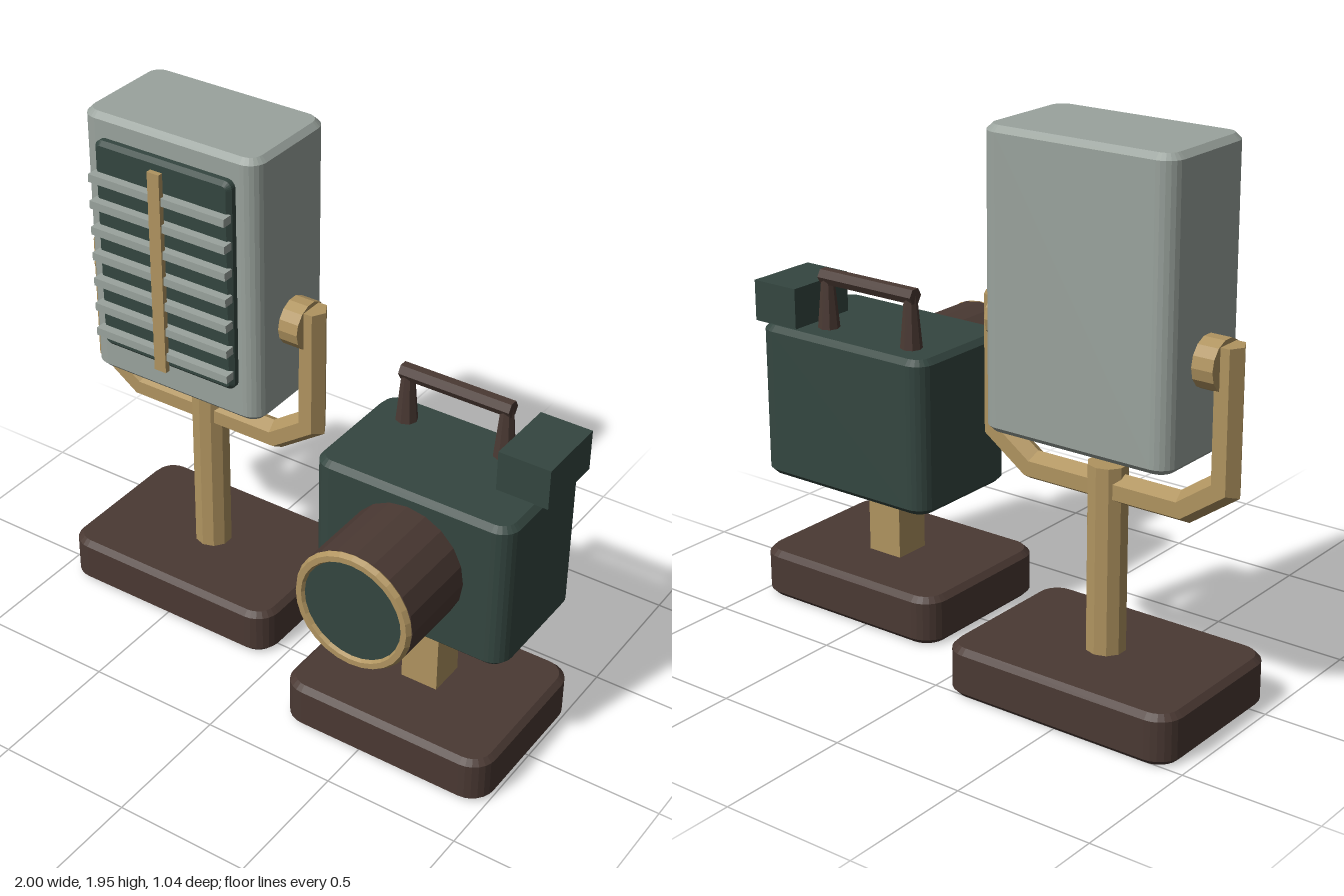
import * as THREE from 'three';

const mat = (name, color) => {
  const m = new THREE.MeshStandardMaterial({ color });
  m.name = name;
  return m;
};

// Faceted copy of a geometry: one normal per face
const facet = (geo) => {
  const g = geo.index ? geo.toNonIndexed() : geo;
  g.computeVertexNormals();
  return g;
};

// Slab with rounded outline (w x d), thickness h along z, chamfered rims, centred
function slab(w, d, h, radius, bevel) {
  const x = w / 2 - bevel, y = d / 2 - bevel, r = radius - bevel;
  const s = new THREE.Shape();
  s.moveTo(-x + r, -y);
  s.lineTo(x - r, -y).absarc(x - r, -y + r, r, -Math.PI / 2, 0);
  s.lineTo(x, y - r).absarc(x - r, y - r, r, 0, Math.PI / 2);
  s.lineTo(-x + r, y).absarc(-x + r, y - r, r, Math.PI / 2, Math.PI);
  s.lineTo(-x, -y + r).absarc(-x + r, -y + r, r, Math.PI, Math.PI * 1.5);
  const g = new THREE.ExtrudeGeometry(s, {
    depth: h - 2 * bevel, bevelEnabled: true, bevelSize: bevel,
    bevelThickness: bevel, bevelSegments: 1, curveSegments: 3,
  });
  return g.translate(0, 0, bevel - h / 2);
}

// Upright slab, thickness along y
const block = (w, h, d, radius, bevel) => slab(w, d, h, radius, bevel).rotateX(-Math.PI / 2);

// Hexagonal bar bent along a path in the xy plane, mitred at the corners
function bentBar(points, r) {
  const n = points.length - 1;
  const g = new THREE.CylinderGeometry(r, r, 1, 6, n, false, Math.PI / 2);
  const dir = (i) => {
    const k = Math.min(Math.max(i, 0), n - 1);
    return points[k + 1].clone().sub(points[k]).normalize();
  };
  const pos = g.attributes.position;
  for (let v = 0; v < pos.count; v++) {
    const i = Math.round((pos.getY(v) + 0.5) * n);
    const t = dir(i - 1).add(dir(i)).normalize();
    const off = pos.getX(v) / t.dot(dir(i));
    pos.setXY(v, points[i].x + t.y * off, points[i].y - t.x * off);
  }
  return g;
}

export function createModel() {
  const brass = mat('brass', 0xb09460);
  const brown = mat('dark brown', 0x4a3933);
  const green = mat('dark green', 0x344640);
  const grey = mat('pale grey', 0x9aa39d);

  const add = (group, name, geo, material, x, y, z) => {
    const m = new THREE.Mesh(facet(geo), material);
    m.name = name;
    m.position.set(x, y, z);
    group.add(m);
    return m;
  };

  // Microphone on a yoke stand
  const mic = new THREE.Group();
  mic.name = 'microphone';
  const mx = -0.5, mz = -0.21;
  add(mic, 'microphoneBase', block(0.91, 0.18, 0.625, 0.09, 0.02), brown, mx, 0.09, mz);
  add(mic, 'microphoneStem', new THREE.CylinderGeometry(0.07, 0.07, 0.685, 10), brass, mx, 0.5025, mz);
  const yokePath = [[-0.447, 1.337], [-0.447, 0.868], [-0.3, 0.765], [0.3, 0.765], [0.447, 0.868], [0.447, 1.337]]
    .map(([x, y]) => new THREE.Vector2(x, y));
  add(mic, 'yoke', bentBar(yokePath, 0.053), brass, mx, 0, mz);
  for (const side of [-1, 1]) {
    add(mic, side < 0 ? 'rightPivot' : 'leftPivot',
      new THREE.CylinderGeometry(0.088, 0.088, 0.1, 14).rotateZ(Math.PI / 2), brass, mx + side * 0.39, 1.267, mz);
  }
  add(mic, 'microphoneHousing', block(0.726, 1.013, 0.422, 0.065, 0.02), grey, mx, 1.4435, mz);

  // Grille: panel, slats and centre bar
  add(mic, 'grillePanel', slab(0.566, 0.803, 0.06, 0.03, 0.015), green, mx, 1.4665, 0.006);
  for (let i = 0; i < 7; i++) {
    add(mic, 'grilleSlat' + (i + 1), new THREE.BoxGeometry(0.566, 0.03, 0.04), grey, mx, 1.133 + i * 0.101, 0.049);
  }
  add(mic, 'grilleBar', new THREE.BoxGeometry(0.049, 0.77, 0.02), brass, mx, 1.456, 0.065);

  // Camera on a pedestal
  const cam = new THREE.Group();
  cam.name = 'camera';
  const cx = 0.589;
  add(cam, 'cameraBase', block(0.816, 0.18, 0.635, 0.09, 0.02), brown, cx, 0.09, 0.01);
  add(cam, 'cameraColumn', new THREE.BoxGeometry(0.142, 0.36, 0.142), brass, cx, 0.34, -0.002);
  add(cam, 'cameraBody', block(0.756, 0.567, 0.49, 0.07, 0.02), green, cx, 0.7715, -0.058);
  add(cam, 'viewfinder', new THREE.BoxGeometry(0.192, 0.15, 0.277), green, 0.901, 1.128, -0.138);

  // Lens: barrel, rim and glass
  const ly = 0.787;
  add(cam, 'lensBarrel', new THREE.CylinderGeometry(0.22, 0.22, 0.36, 20).rotateX(Math.PI / 2), brown, cx - 0.002, ly, 0.315);
  add(cam, 'lensRim', new THREE.TorusGeometry(0.2, 0.02, 6, 28), brass, cx - 0.002, ly, 0.5);
  add(cam, 'lensGlass', new THREE.CylinderGeometry(0.19, 0.19, 0.01, 28).rotateX(Math.PI / 2), green, cx - 0.002, ly, 0.5);

  // Carrying handle
  const hx = 0.54, hz = -0.184;
  add(cam, 'handleBar', new THREE.CylinderGeometry(0.03, 0.03, 0.424, 6).rotateZ(Math.PI / 2), brown, hx, 1.243, hz);
  for (const side of [-1, 1]) {
    add(cam, side < 0 ? 'rightHandleLeg' : 'leftHandleLeg',
      new THREE.CylinderGeometry(0.022, 0.04, 0.2, 8), brown, hx + side * 0.19, 1.15, hz);
  }

  const model = new THREE.Group();
  model.name = 'microphoneAndCamera';
  model.add(mic, cam);
  return model;
}
